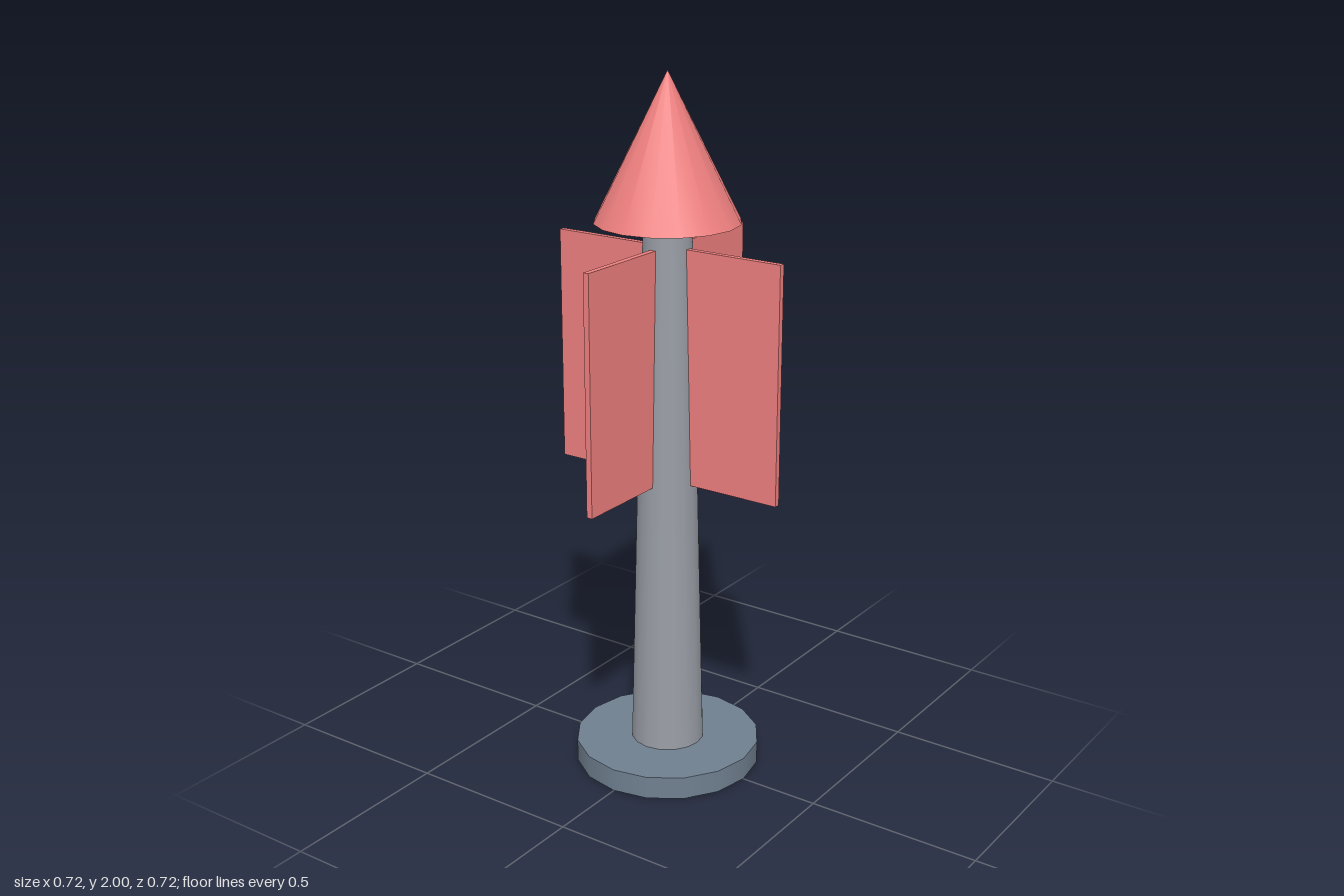
import * as THREE from 'three';

const SIDES = 16;

function part(name, geometry, color, y) {
  const mesh = new THREE.Mesh(geometry, new THREE.MeshStandardMaterial({ color }));
  mesh.name = name;
  mesh.position.y = y;
  return mesh;
}

export function createModel() {
  const model = new THREE.Group();
  const red = 0xf08080;

  // Round foot; the shaft passes through it and shows underneath
  model.add(part('base', new THREE.CylinderGeometry(0.267, 0.267, 0.066, SIDES), 0x708090, 0.034));

  // Tapered shaft
  model.add(part('shaft', new THREE.CylinderGeometry(0.067, 0.107, 1.6, SIDES), 0x9a9ea6, 0.8));

  // Pointed tip
  model.add(part('tip', new THREE.ConeGeometry(0.2, 0.4, SIDES), red, 1.8));

  // Four upright fins around the shaft
  const fins = new THREE.Group();
  fins.name = 'fins';
  const finGeometry = new THREE.BoxGeometry(0.333, 0.667, 0.017);
  finGeometry.translate(0.193, 0, 0);
  for (let i = 0; i < 4; i++) {
    const fin = part('fin', finGeometry, red, 1.2);
    fin.rotation.y = i * Math.PI / 2;
    fins.add(fin);
  }
  model.add(fins);

  return model;
}
